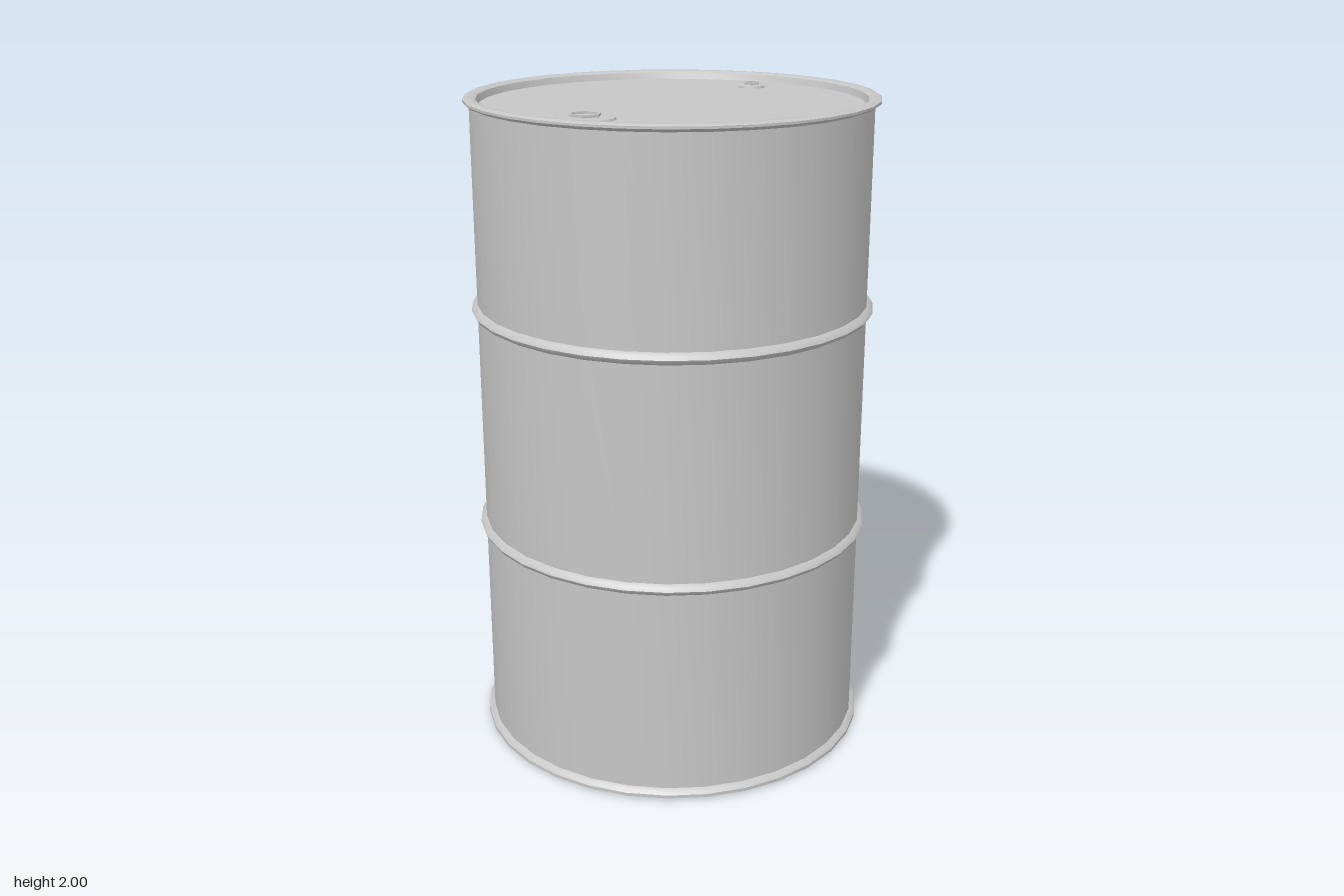
import * as THREE from 'three';
import { toCreasedNormals } from 'three/addons/utils/BufferGeometryUtils.js';

const steel = new THREE.MeshStandardMaterial({ color: 0xc6c6c6 });
steel.name = 'grey steel';

const WALL = 0.592, RIM = 0.61, LID_Y = 1.974;

// Turned part: profile runs from the bottom, outwards and up, then inwards
function turned(name, profile, sides, crease = 0.7) {
  const points = profile.map(([r, y]) => new THREE.Vector2(r, y));
  const geometry = toCreasedNormals(new THREE.LatheGeometry(points, sides), crease);
  const mesh = new THREE.Mesh(geometry, steel);
  mesh.name = name;
  return mesh;
}

// Rolled hoop pressed out of the wall
function hoop(y) {
  return [[WALL, y - 0.018], [0.604, y - 0.011], [RIM, y], [0.604, y + 0.011], [WALL, y + 0.018]];
}

// Threaded plug: round flange with a raised hexagonal socket
function plug(name, x, flangeRadius, socketRadius) {
  const group = new THREE.Group();
  group.name = name;
  const r = socketRadius;
  group.add(
    turned('flange', [[flangeRadius, -0.002], [flangeRadius * 0.96, 0.006], [r * 0.8, 0.009], [0, 0.009]], 24),
    turned('hexSocket', [[r, 0.006], [r, 0.016], [r * 0.84, 0.016], [r * 0.84, 0.0095], [0, 0.0095]], 6, 0.4),
  );
  group.position.set(x, LID_Y, 0);
  return group;
}

export function createModel() {
  const drum = new THREE.Group();
  drum.name = 'drum';

  // Base, bottom chime, wall with two hoops, and top chime
  drum.add(turned('shell', [
    [0, 0], [0.6, 0], [RIM, 0.006], [RIM, 0.016], [0.602, 0.025], [WALL, 0.03],
    ...hoop(0.685), ...hoop(1.372),
    [WALL, 1.978], [0.603, 1.982], [RIM, 1.988], [RIM, 1.995], [0.602, 2],
    [0.584, 2], [0.573, 1.994], [0.567, LID_Y],
  ], 32));

  // Recessed lid
  drum.add(turned('lid', [[0.567, LID_Y], [0, LID_Y]], 32));

  // Large and small plugs
  drum.add(plug('largePlug', -0.41, 0.087, 0.047));
  drum.add(plug('smallPlug', 0.43, 0.041, 0.026));

  return drum;
}
